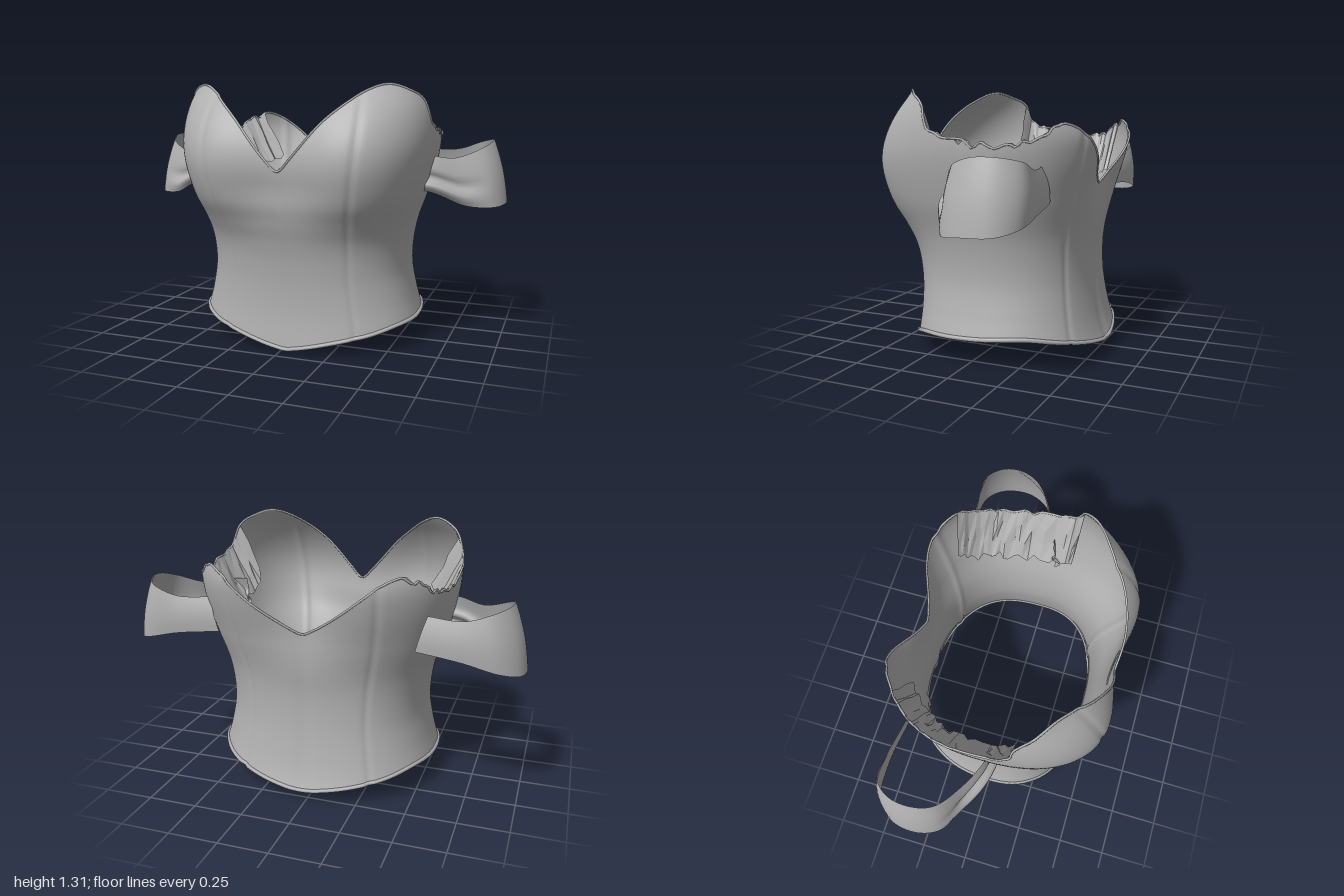
import * as THREE from 'three';

const CX = 0.025; // the bodice sits slightly off the sleeve centre

// Smooth interpolation through [position, value] pairs
function profile(pairs) {
  const c = new THREE.CubicInterpolant(pairs.map(p => p[0]), pairs.map(p => p[1]), 1);
  return t => c.evaluate(t)[0];
}

// Body measurements by height
const halfWidth = profile([[0, .6], [.12, .58], [.25, .545], [.4, .52], [.6, .54], [.8, .605], [1, .65], [1.1, .655], [1.2, .645], [1.33, .61]]);
const frontDepth = profile([[0, .425], [.2, .405], [.4, .415], [.55, .45], [.65, .515], [.75, .59], [.9, .64], [1, .635], [1.1, .595], [1.2, .525], [1.3, .43], [1.34, .4]]);
const backDepth = profile([[0, .56], [.1, .52], [.2, .493], [.4, .465], [.6, .47], [.8, .52], [1, .58], [1.1, .595], [1.2, .57]]);

// Edge heights by angle, 0 at the front centre and 180 at the back centre
const hemHeight = profile([[0, 0.008], [20, .06], [38, .095], [60, .13], [90, .14], [120, .15], [142, .12], [180, .05]]);
const neckHeight = profile([[0, .91], [5.5, 1.01], [13.4, 1.13], [23, 1.22], [35, 1.29], [46, 1.315], [61, 1.29], [74, 1.24], [80, 1.17], [90, 1.1], [101, 1.08], [118, 1.1], [132, 1.155], [140, 1.16], [150, 1.12], [180, .86]]);

const bump = (t, w) => Math.exp(-(t * t) / (w * w));
const noise = i => { const s = Math.sin(i * 127.1 + 3.7) * 43758.5453; return s - Math.floor(s); };

// Point on the bodice wall; angle in degrees, positive towards +x
function wall(angle, y) {
  const a = Math.abs(angle), r = THREE.MathUtils.degToRad(a);
  const x = halfWidth(y) * Math.pow(Math.max(0, Math.sin(r)), .8);
  const c = Math.cos(r), front = c > 0;
  let z = (front ? frontDepth(y) : backDepth(y)) * Math.pow(Math.abs(c), .8);
  // Hollow between the two cups, and a gentler one down the back
  z *= front ? 1 - .19 * THREE.MathUtils.smoothstep(y, .5, .85) * bump(x, .3)
             : 1 - .14 * THREE.MathUtils.smoothstep(y, .6, 1) * bump(x, .2);
  // Sunken panel seams
  const seam = 1 - .012 * (bump(a - 31, 1.8) + bump(a - 150, 1.8) + bump(a - 180, 1.5));
  return new THREE.Vector3(CX + Math.sign(angle) * x * seam, y, Math.sign(c) * z * seam);
}

// Neckline with a ragged stretch under each arm
function neck(angle) {
  const a = Math.abs(angle);
  const torn = a > 76 && a < 136 ? .035 * noise(Math.round(angle / 2)) : 0;
  return neckHeight(a) - torn;
}

// Grid surface from a point function (u index, v index)
function grid(nu, nv, closed, point) {
  const pos = [], index = [], cols = closed ? nu : nu + 1;
  for (let i = 0; i < cols; i++)
    for (let j = 0; j <= nv; j++) pos.push(...point(i / nu, j / nv, i, j).toArray());
  for (let i = 0; i < nu; i++)
    for (let j = 0; j < nv; j++) {
      const a = i * (nv + 1) + j, b = ((i + 1) % cols) * (nv + 1) + j;
      index.push(a, b, b + 1, a, b + 1, a + 1);
    }
  const g = new THREE.BufferGeometry();
  g.setAttribute('position', new THREE.Float32BufferAttribute(pos, 3));
  g.setIndex(index);
  g.computeVertexNormals();
  return g;
}

// Sleeve band stations: top edge and bottom edge
const bandTop = [[.55, .97, -.38], [.72, .97, -.41], [.84, 1.01, -.41], [.91, 1.03, -.33], [.925, 1.03, -.22], [.89, 1, -.12], [.76, .95, -.03], [.64, .965, .03], [.55, .97, .05]];
const bandBottom = [[.5, .8, -.4], [.72, .78, -.43], [.89, .74, -.42], [.98, .715, -.34], [1, .71, -.2], [.95, .7, -.09], [.82, .71, -.03], [.66, .78, .04], [.54, .8, .06]];
const curve = pts => new THREE.CatmullRomCurve3(pts.map(p => new THREE.Vector3(...p)));

export function createModel() {
  const model = new THREE.Group();
  model.name = 'bodice';
  const fabric = new THREE.MeshStandardMaterial({ color: 0xb0b0b0, side: THREE.DoubleSide });
  fabric.name = 'grey fabric';
  const add = (geometry, name) => {
    const mesh = new THREE.Mesh(geometry, fabric);
    mesh.name = name;
    model.add(mesh);
  };

  // Main shell
  add(grid(240, 48, true, (u, v) => {
    const angle = u * 360 - 180;
    return wall(angle, THREE.MathUtils.lerp(hemHeight(Math.abs(angle)), neck(angle), v));
  }), 'bodiceShell');

  // Rolled hem and bound neckline
  const edge = (height, radius, name) => {
    const pts = [];
    for (let a = -180; a < 180; a += 3) pts.push(wall(a, height(a)));
    add(new THREE.TubeGeometry(new THREE.CatmullRomCurve3(pts, true), 240, radius, 6, true), name);
  };
  edge(a => hemHeight(Math.abs(a)) + .006, .011, 'hemRoll');
  edge(a => neck(a) - .004, .006, 'necklineBinding');

  for (const side of [1, -1]) {
    const label = side > 0 ? 'left' : 'right';

    // Crumpled facing folded inside the armhole
    const facing = grid(26, 3, false, (u, v, i, j) => {
      const angle = side * (74 + u * 62);
      const p = wall(angle, neck(angle));
      const crumple = j ? noise(i * 5 + j + side * 40) - .5 : 0;
      p.x -= side * (.13 * v + .035 * crumple);
      p.y -= .25 * v + .03 * crumple;
      p.z *= 1 - .05 * v;
      return p;
    }).toNonIndexed();
    facing.computeVertexNormals();
    add(facing, label + 'ArmholeFacing');

    // Off-shoulder sleeve band, puffed with a tuck along its lower front
    const top = curve(bandTop), bottom = curve(bandBottom);
    add(grid(64, 14, false, (u, v) => {
      const p = bottom.getPoint(u).lerp(top.getPoint(u), v);
      const t = bottom.getTangent(u);
      const out = new THREE.Vector3(-t.z, 0, t.x).normalize();
      if (out.dot(new THREE.Vector3(p.x - .7, 0, p.z + .2)) < 0) out.negate();
      const tuck = THREE.MathUtils.smoothstep(u, .6, .85);
      p.addScaledVector(out, .012 * Math.sin(Math.PI * v) + tuck * (.03 * bump(v - .17, .14) - .02 * bump(v - .42, .1)));
      p.x *= side;
      return p;
    }), label + 'SleeveBand');
  }
  return model;
}
